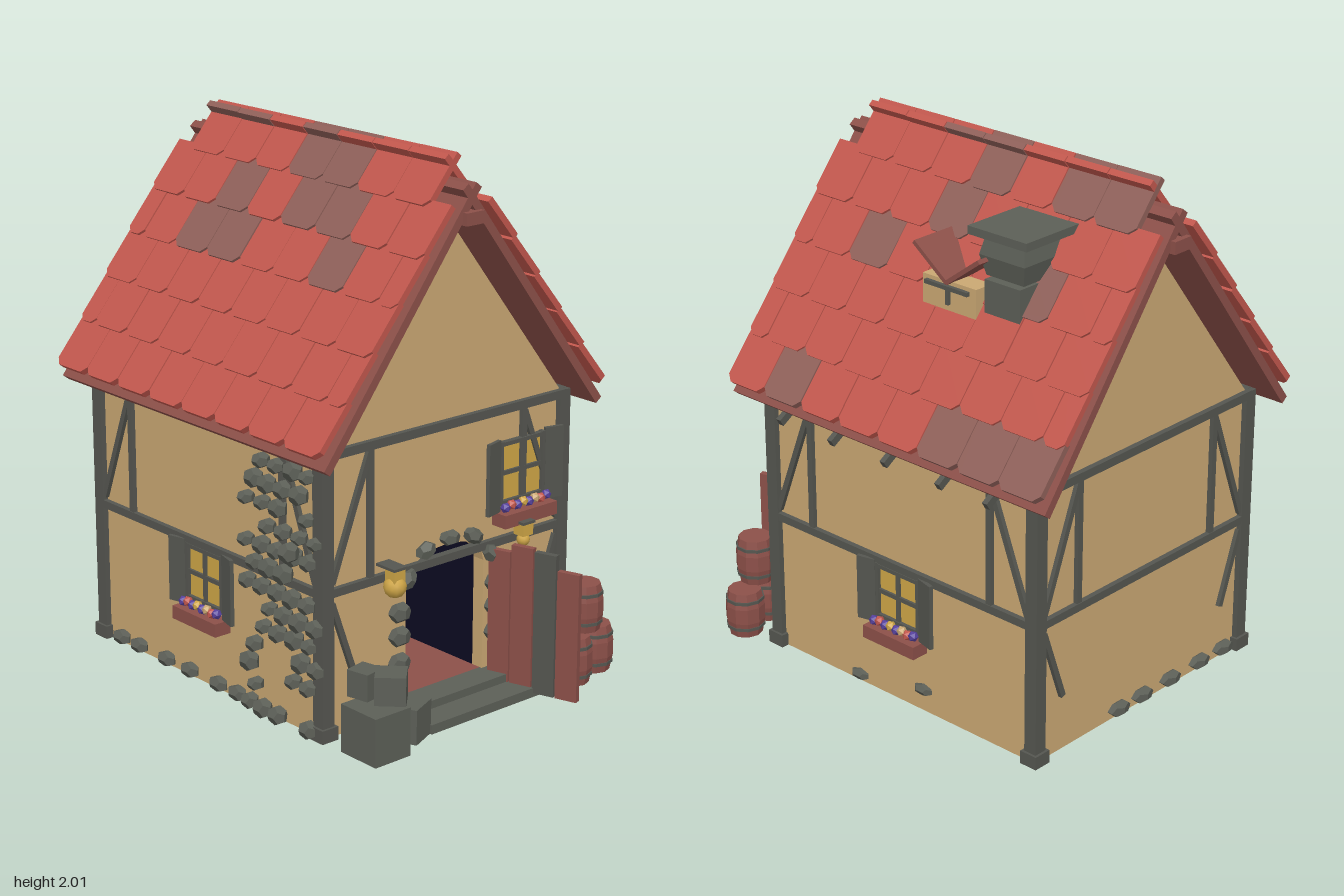
import * as THREE from 'three';

const mat = (name, color) => {
  const m = new THREE.MeshStandardMaterial({ color });
  m.name = name;
  return m;
};

export function createModel() {
  const M = {
    plaster: mat('plaster', 0xcaa873), beam: mat('beamGrey', 0x555650), stone: mat('stoneGrey', 0x5c5f57),
    red: mat('roofRed', 0xc2574d), brown: mat('roofBrown', 0x8f6059), wood: mat('wood', 0x8c5049),
    gold: mat('windowGold', 0xcfa647), navy: mat('darkInterior', 0x0c0b22),
    purple: mat('purpleFlower', 0x56419c), floor: mat('floorBrown', 0x744741),
  };
  const root = new THREE.Group();
  root.name = 'cottage';

  let seed = 7;
  const rnd = () => (seed = (seed * 16807) % 2147483647) / 2147483647;
  const flat = g => {
    const f = g.index ? g.toNonIndexed() : g;
    f.computeVertexNormals();
    return f;
  };
  const add = (parent, name, geo, m, x = 0, y = 0, z = 0) => {
    const o = new THREE.Mesh(geo, m);
    o.name = name;
    o.position.set(x, y, z);
    parent.add(o);
    return o;
  };
  // box given by its extents
  const span = (parent, name, m, x0, x1, y0, y1, z0, z1) =>
    add(parent, name, new THREE.BoxGeometry(x1 - x0, y1 - y0, z1 - z0), m, (x0 + x1) / 2, (y0 + y1) / 2, (z0 + z1) / 2);
  // timber running between two points in a wall plane
  const timber = (parent, x0, y0, x1, y1, t, z = 0.005) => {
    const o = add(parent, 'timber', new THREE.BoxGeometry(Math.hypot(x1 - x0, y1 - y0), t, t), M.beam, (x0 + x1) / 2, (y0 + y1) / 2, z);
    o.rotation.z = Math.atan2(y1 - y0, x1 - x0);
    return o;
  };
  const stoneGeo = new THREE.DodecahedronGeometry(1);
  const rock = (x, y, z, sx, sy, sz, turn = 0, name = 'stone') => {
    const o = add(root, name, stoneGeo, M.stone, x, y, z);
    o.scale.set(sx, sy, sz);
    o.rotation.z = turn;
    return o;
  };

  // walls, with an arched doorway in the front one
  const front = new THREE.Shape();
  front.moveTo(-0.57, 0.02).lineTo(0.57, 0.02).lineTo(0.57, 1.06).lineTo(-0.57, 1.06).closePath();
  const arch = new THREE.Path();
  arch.moveTo(-0.19, 0.05).lineTo(-0.19, 0.5).quadraticCurveTo(-0.17, 0.6, 0, 0.605)
    .quadraticCurveTo(0.17, 0.6, 0.185, 0.5).lineTo(0.185, 0.05).closePath();
  front.holes.push(arch);
  add(root, 'frontWall', new THREE.ExtrudeGeometry(front, { depth: 0.05, bevelEnabled: false, curveSegments: 6 }), M.plaster, 0, 0, 0.47);
  span(root, 'backWall', M.plaster, -0.57, 0.57, 0.02, 1.06, -0.76, -0.71);
  for (const s of [-1, 1])
    add(root, 'sideWall', new THREE.BoxGeometry(0.05, 1.04, 1.18), M.plaster, s * 0.545, 0.54, -0.12);
  const gable = new THREE.Shape();
  gable.moveTo(-0.57, 1.05).lineTo(0.57, 1.05).lineTo(0, 1.78).closePath();
  for (const z of [0.49, -0.76])
    add(root, 'gable', new THREE.ExtrudeGeometry(gable, { depth: 0.03, bevelEnabled: false }), M.plaster, 0, 0, z);

  // floor and dark hallway
  span(root, 'floor', M.floor, -0.52, 0.52, 0.04, 0.07, -0.71, 0.48);
  span(root, 'hallFloor', M.wood, -0.19, 0.185, 0.07, 0.08, -0.3, 0.51);
  span(root, 'hallSide', M.navy, -0.21, -0.19, 0.07, 0.62, -0.3, 0.47);
  span(root, 'hallSide', M.navy, 0.185, 0.205, 0.07, 0.62, -0.3, 0.47);
  span(root, 'hallBack', M.navy, -0.21, 0.205, 0.07, 0.62, -0.32, -0.3);
  span(root, 'hallTop', M.navy, -0.21, 0.205, 0.61, 0.63, -0.3, 0.47);

  // timber framing on the four walls: [x, z, turn, half width, has lower braces]
  for (const [x, z, turn, w, lower] of [[0, 0.52, 0, 0.57, 1], [0, -0.76, Math.PI, 0.57, 1],
    [0.57, -0.12, Math.PI / 2, 0.64, 0], [-0.57, -0.12, -Math.PI / 2, 0.64, 0]]) {
    const g = new THREE.Group();
    g.name = 'framing';
    g.position.set(x, 0, z);
    g.rotation.y = turn;
    root.add(g);
    timber(g, -w, 0.56, w, 0.56, 0.03);
    timber(g, -w, 1.055, w, 1.055, 0.032);
    for (const s of [-1, 1]) {
      timber(g, s * (w - 0.205), 0.57, s * (w - 0.205), 1.05, 0.024);
      timber(g, s * (w - 0.03), 0.59, s * (w - 0.2), 1.03, 0.022);
      if (lower) timber(g, s * (w - 0.03), 0.52, s * (w - 0.13), 0.24, 0.022);
    }
  }
  for (const x of [-0.565, 0.565]) for (const z of [0.515, -0.755]) {
    span(root, 'cornerPost', M.beam, x - 0.026, x + 0.026, 0.02, 1.07, z - 0.026, z + 0.026);
    span(root, 'postFoot', M.beam, x - 0.036, x + 0.036, 0.02, 0.07, z - 0.036, z + 0.036);
  }
  for (const z of [0.4, 0.14, -0.12, -0.38, -0.6])
    add(root, 'joistEnd', new THREE.BoxGeometry(0.11, 0.03, 0.022), M.beam, 0.6, 1.015, z).rotation.z = -0.55;

  // roof: boards below, overlapping rows of tiles above
  const zMid = -0.12, rows = 6, rowLen = 0.188, tileW = 0.1875;
  const tileGeo = w => {
    const s = new THREE.Shape(), h = w / 2, c = Math.min(0.025, w / 4), L = rowLen;
    s.moveTo(-0.03, -h).lineTo(L - c, -h).lineTo(L, c - h).lineTo(L, h - c).lineTo(L - c, h).lineTo(-0.03, h).closePath();
    return new THREE.ExtrudeGeometry(s, { depth: 0.024, bevelEnabled: false }).rotateX(-Math.PI / 2);
  };
  const fullTile = tileGeo(tileW - 0.004), halfTile = tileGeo(tileW / 2 - 0.004);
  for (const side of [1, -1]) {
    const turned = new THREE.Group(), slope = new THREE.Group();
    turned.name = side > 0 ? 'roofRight' : 'roofLeft';
    turned.position.set(0, 1.99, zMid);
    turned.rotation.y = side > 0 ? 0 : Math.PI;
    slope.rotation.z = -Math.atan2(0.9, 0.69);
    turned.add(slope);
    root.add(turned);
    span(slope, 'roofBoards', M.wood, 0.04, 1.15, -0.085, -0.053, -0.75, 0.75);
    for (let r = 0; r < rows; r++) {
      const odd = r % 2 === 0;
      for (let i = 0; i < (odd ? 9 : 8); i++) {
        const half = odd && (i === 0 || i === 8);
        if (half && r === 0) continue;
        const z = half ? (i ? 1 : -1) * (0.75 - tileW / 4) : -0.75 + tileW * (i + (odd ? 0 : 0.5));
        const m = rnd() < (side > 0 ? 0.33 : 0.17) ? M.brown : M.red;
        const t = add(slope, 'roofTile', half ? halfTile : fullTile, m, r * rowLen, -0.026 + rnd() * 0.003, z);
        t.rotation.z = 0.045;
      }
    }
  }
  span(root, 'ridgeBeam', M.wood, -0.042, 0.042, 1.785, 1.83, -0.89, 0.65);

  // chimney
  span(root, 'chimneyBase', M.stone, 0.17, 0.36, 1.45, 1.645, -0.49, -0.33);
  for (const [y, top, bottom] of [[1.69, 0.145, 0.12], [1.765, 0.12, 0.145]])
    add(root, 'chimneyStack', flat(new THREE.CylinderGeometry(top, bottom, 0.075, 4).rotateY(Math.PI / 4)), M.stone, 0.255, y, -0.405);
  span(root, 'chimneyCap', M.stone, 0.12, 0.385, 1.8, 1.83, -0.54, -0.275);

  // small dormer with splayed roof boards
  span(root, 'dormerWall', M.plaster, 0.2, 0.38, 1.38, 1.605, -0.31, -0.06);
  for (const s of [-1, 1])
    add(root, 'dormerBoard', new THREE.BoxGeometry(0.29, 0.016, 0.19), M.wood, 0.255, 1.66, -0.187 + s * 0.075).rotation.x = -s * 0.64;
  span(root, 'dormerBeam', M.beam, 0.36, 0.395, 1.575, 1.59, -0.28, -0.08);
  span(root, 'dormerMullion', M.beam, 0.37, 0.392, 1.52, 1.58, -0.19, -0.175);

  // windows with shutters and flower boxes
  const petals = [M.purple, M.red, M.purple, M.gold, M.purple, M.plaster, M.red, M.purple];
  const bud = new THREE.IcosahedronGeometry(0.02, 0);
  const makeWindow = (x, y, z, turn, w, h) => {
    const g = new THREE.Group();
    g.name = 'window';
    g.position.set(x, y, z);
    g.rotation.y = turn;
    root.add(g);
    add(g, 'pane', new THREE.BoxGeometry(w, h, 0.009), M.gold, 0, 0, 0.004);
    span(g, 'mullion', M.beam, -0.008, 0.008, -h / 2, h / 2, 0, 0.018);
    span(g, 'mullion', M.beam, -w / 2, w / 2, -0.008, 0.008, 0, 0.018);
    for (const s of [-1, 1]) {
      add(g, 'frameSide', new THREE.BoxGeometry(0.015, h + 0.02, 0.025), M.beam, s * w / 2, 0, 0.01);
      add(g, 'frameRail', new THREE.BoxGeometry(w, 0.015, 0.025), M.beam, 0, s * h / 2, 0.01);
      add(g, 'shutter', new THREE.BoxGeometry(0.075, h + 0.05, 0.015), M.beam, s * (w / 2 + 0.045), -0.005, 0.025).rotation.y = -s * 0.25;
    }
    span(g, 'flowerBox', M.wood, -w / 2 - 0.025, w / 2 + 0.025, -h / 2 - 0.08, -h / 2 - 0.03, 0, 0.07);
    for (let i = 0; i < 8; i++)
      add(g, 'flower', bud, petals[i], (i - 3.5) * w / 7.2, -h / 2 - 0.012 + (i % 2) * 0.006, 0.04);
  };
  makeWindow(0.355, 0.815, 0.52, 0, 0.21, 0.22);
  makeWindow(0.57, 0.44, -0.12, Math.PI / 2, 0.2, 0.2);
  makeWindow(-0.57, 0.44, -0.12, -Math.PI / 2, 0.2, 0.2);

  // open plank door
  const door = new THREE.Group();
  door.name = 'door';
  door.position.set(0.2, 0, 0.54);
  door.rotation.y = -1.26;
  root.add(door);
  [0.55, 0.58, 0.57, 0.515].forEach((top, i) =>
    span(door, 'doorPlank', i === 2 ? M.beam : M.wood, i * 0.092, i * 0.092 + 0.086, 0.03, top, -0.012, 0.012));

  // stones around the doorway
  [[0, 0.635, 0], [-0.115, 0.615, 0.5], [0.115, 0.615, -0.5], [-0.2, 0.53, 1.1], [0.2, 0.53, -1.1]].forEach(
    ([x, y, t]) => rock(x, y, 0.54, 0.042, 0.03, 0.035, t, 'archStone'));
  for (const s of [-1, 1]) for (const y of [0.41, 0.32, 0.22])
    rock(s * 0.232, y, 0.535, 0.046, 0.04, 0.035, 0, 'jambStone');
  rock(0.36, 0.12, 0.53, 0.035, 0.03, 0.025);

  // steps and stone blocks
  span(root, 'lowerStep', M.stone, -0.25, 0.29, 0.015, 0.05, 0.5, 0.725);
  span(root, 'upperStep', M.stone, -0.22, 0.23, 0.05, 0.08, 0.5, 0.62);
  span(root, 'stoneBlock', M.stone, -0.56, -0.4, 0, 0.18, 0.6, 0.78);
  for (const [x, y, z, s, h, t] of [[-0.32, 0.08, 0.68, 0.12, 0.13, 0.4], [-0.41, 0.23, 0.69, 0.11, 0.11, 0.78], [-0.45, 0.23, 0.6, 0.09, 0.1, 0.2]])
    add(root, 'stoneBlock', new THREE.BoxGeometry(s, h, s), M.stone, x, y, z).rotation.y = t;

  // barrels
  const staves = flat(new THREE.LatheGeometry([[0, -0.09], [0.063, -0.09], [0.075, -0.03], [0.075, 0.03], [0.063, 0.09], [0, 0.09]]
    .map(p => new THREE.Vector2(...p)), 10));
  const hoop = flat(new THREE.CylinderGeometry(0.074, 0.074, 0.012, 10));
  for (const [x, y, z] of [[0.455, 0.11, 0.715], [0.6, 0.11, 0.68], [0.52, 0.295, 0.7]]) {
    add(root, 'barrel', staves, M.wood, x, y, z);
    for (const d of [-0.055, 0.055]) add(root, 'barrelHoop', hoop, M.beam, x, y + d, z);
  }

  // lanterns hung on the front beam
  for (const [x, y, r] of [[-0.3, 0.54, 0.042], [0.32, 0.565, 0.025]]) {
    add(root, 'lanternGlobe', new THREE.IcosahedronGeometry(r, 1), M.gold, x, y, 0.585);
    span(root, 'lanternCap', M.gold, x - 0.025, x + 0.025, y + 0.02, y + 0.065, 0.56, 0.61);
    span(root, 'lanternBracket', M.beam, x - 0.03, x + 0.03, y + 0.065, y + 0.075, 0.52, 0.615);
  }

  // stone pile climbing the left wall
  for (let row = 0; row < 13; row++) for (let k = 0; k < 5; k++) {
    if (rnd() < 0.25) continue;
    const s = 0.027 + rnd() * 0.015;
    rock(-0.59 - rnd() * 0.012, 0.05 + row * 0.077, 0.14 + k * 0.083 + (row % 2) * 0.035, 0.035, s, s * 1.15, 0, 'wallStone');
  }
  rock(-0.64, 0.7, 0.42, 0.04, 0.04, 0.04, 0, 'wallStone');

  // loose footing stones
  for (const x of [0.13, 0.0, -0.16, -0.33, -0.47]) rock(x, 0.055, -0.77, 0.055, 0.03, 0.03, 0, 'footingStone');
  for (const z of [-0.64, -0.53, -0.36, -0.22, -0.05, 0.06]) rock(-0.585, 0.05, z, 0.03, 0.03, 0.05, 0, 'footingStone');
  rock(0.575, 0.05, 0.09, 0.025, 0.022, 0.045, 0, 'footingStone');
  rock(0.575, 0.11, -0.23, 0.025, 0.022, 0.045, 0, 'footingStone');
  return root;
}
